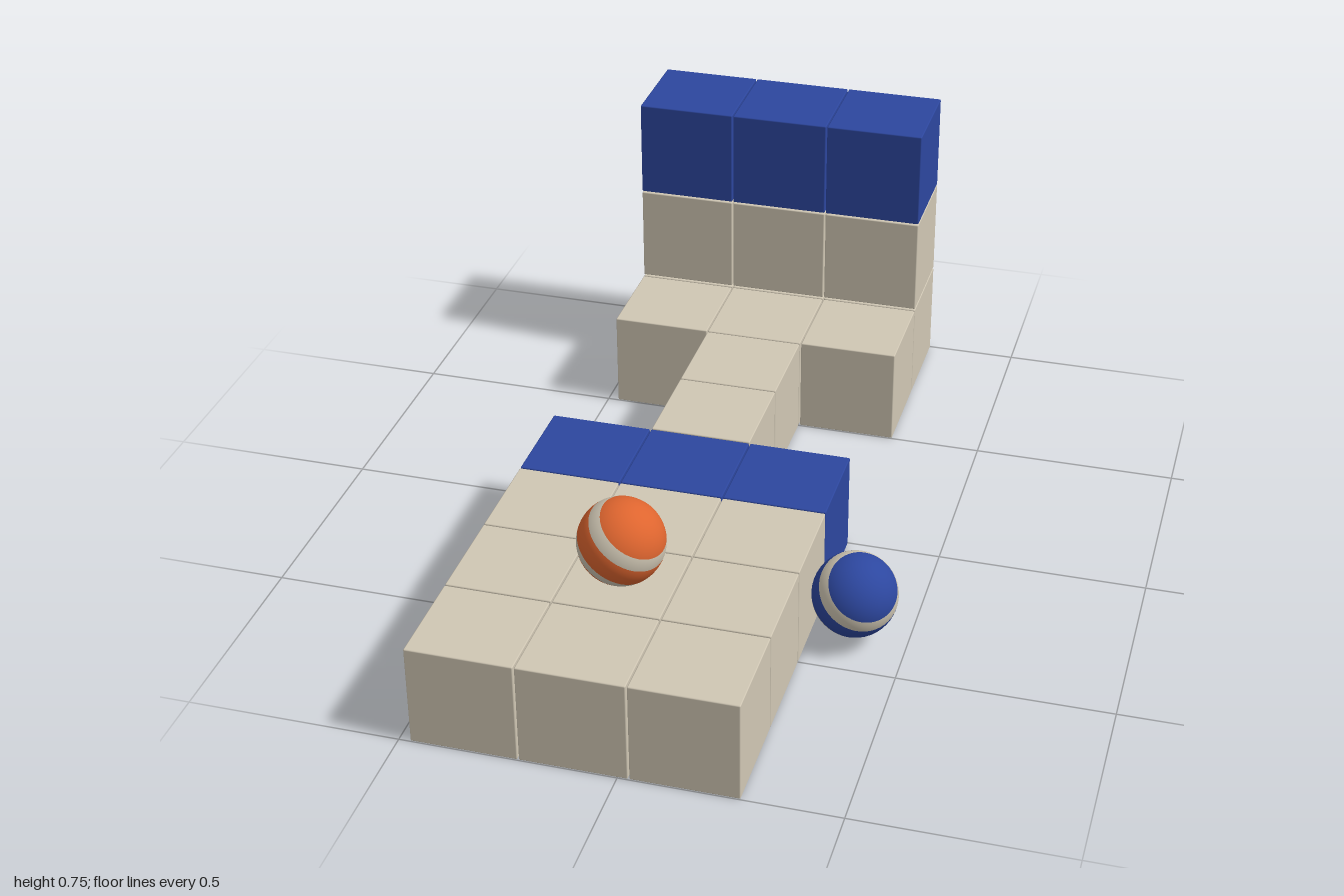
import * as THREE from 'three';
import { RoundedBoxGeometry } from 'three/addons/geometries/RoundedBoxGeometry.js';

const PITCH = 0.25;   // block spacing
const SIZE = 0.247;   // block edge, leaving a fine joint
const RADIUS = 0.1;   // ball radius

function material(name, color) {
  const m = new THREE.MeshStandardMaterial({ color });
  m.name = name;
  return m;
}

export function createModel() {
  const model = new THREE.Group();
  model.name = 'blockPlayfield';
  const beige = material('beige', 0xd0c7b4);
  const blue = material('blue', 0x2d479f);
  const orange = material('orange', 0xde652f);

  // Blocks: rows run front to back, levels run upwards
  const blockGeometry = new RoundedBoxGeometry(SIZE, SIZE, SIZE, 1, 0.003);
  function addRow(name, row, level, columns, mat) {
    const group = new THREE.Group();
    group.name = name;
    for (const column of columns) {
      const block = new THREE.Mesh(blockGeometry, mat);
      block.name = 'block';
      block.position.set(-0.1 + column * PITCH, (level + 0.5) * PITCH, 0.875 - row * PITCH);
      group.add(block);
    }
    model.add(group);
  }
  const wide = [-1, 0, 1];
  for (let row = 0; row < 3; row++) addRow('frontPlatformRow', row, 0, wide, beige);
  addRow('frontPlatformBlueRow', 3, 0, wide, blue);
  for (let row = 4; row < 6; row++) addRow('bridgeBlock', row, 0, [0], beige);
  addRow('backStep', 6, 0, wide, beige);
  addRow('backWallBase', 7, 0, wide, beige);
  addRow('backWallMiddle', 7, 1, wide, beige);
  addRow('backWallTop', 7, 2, wide, blue);

  // Balls: latitude zones about a tilted axis, two of them pale stripes
  function addBall(name, mat, position, axis) {
    const ball = new THREE.Group();
    ball.name = name;
    const limits = [0, 56, 74, 106, 124, 180].map(THREE.MathUtils.degToRad);
    for (let i = 0; i < 5; i++) {
      const zone = new THREE.Mesh(
        new THREE.SphereGeometry(RADIUS, 48, 10, 0, Math.PI * 2, limits[i], limits[i + 1] - limits[i]),
        i % 2 ? beige : mat
      );
      zone.name = i % 2 ? 'stripe' : 'ballZone';
      ball.add(zone);
    }
    ball.position.set(...position);
    ball.quaternion.setFromUnitVectors(new THREE.Vector3(0, 1, 0), new THREE.Vector3(...axis).normalize());
    model.add(ball);
  }
  addBall('orangeBall', orange, [-0.1, 0.35, 0.625], [0.55, 0.82, 0.13]);
  addBall('blueBall', blue, [0.375, 0.125, 0.375], [0.43, 0.75, 0.5]);

  return model;
}
